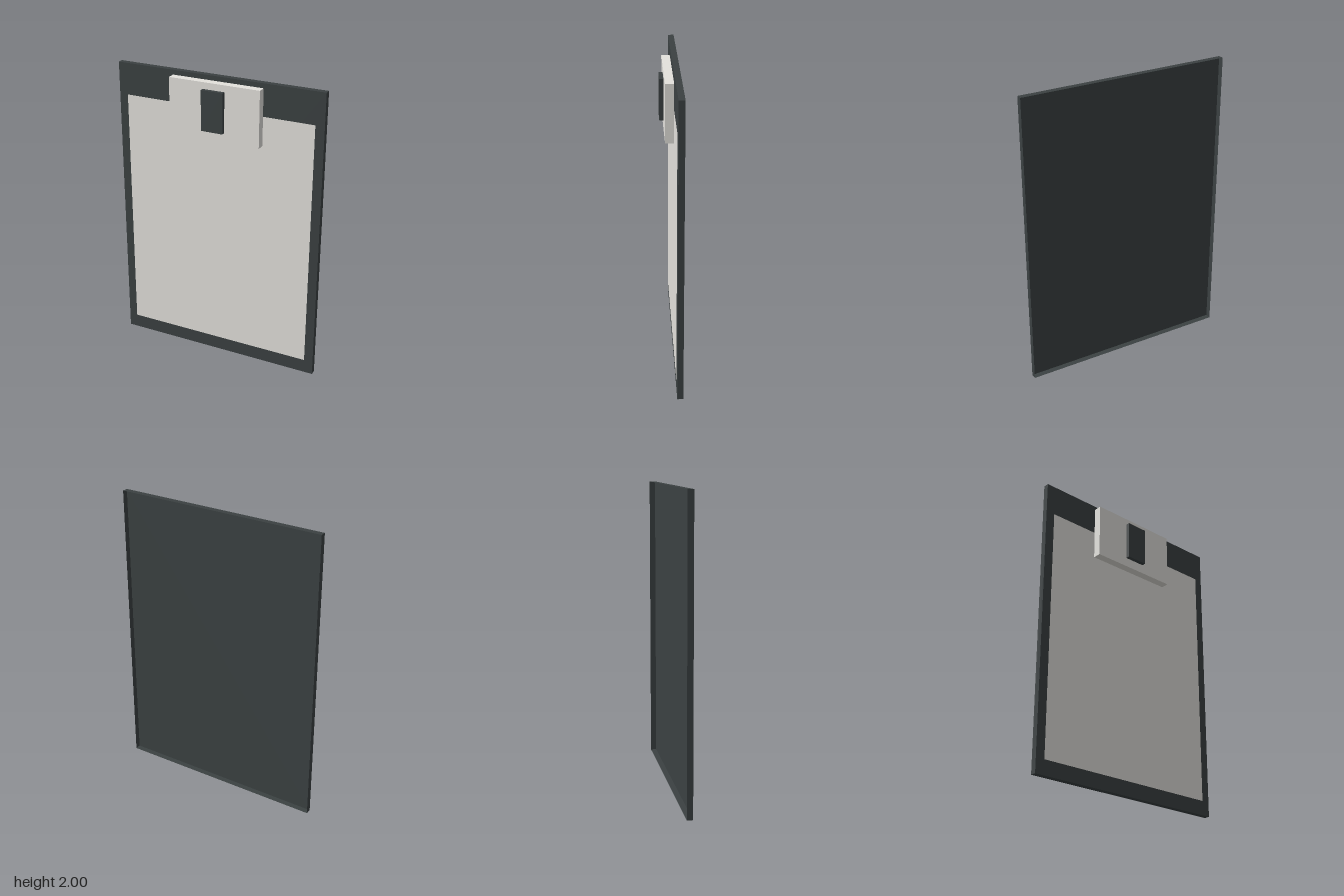
import * as THREE from 'three';

export function createModel() {
  const model = new THREE.Group();
  model.name = 'clipboard';

  const makeMaterial = (name, color) => {
    const material = new THREE.MeshStandardMaterial({ color, side: THREE.DoubleSide });
    material.name = name;
    return material;
  };
  const dark = makeMaterial('dark slate', 0x3b4142);
  const pale = makeMaterial('pale grey', 0xe4e2dd);

  const add = (name, geometry, material, x, y, z) => {
    const mesh = new THREE.Mesh(geometry, material);
    mesh.name = name;
    mesh.position.set(x, y, z);
    model.add(mesh);
  };

  // Thin-walled tray, open at the back, given by its width, vertical extent and depth extent
  const tray = (name, material, width, y0, y1, z0, z1) => {
    const geometry = new THREE.BoxGeometry(width, y1 - y0, z1 - z0);
    // The back face is the last of the six, so keep the first five
    geometry.setIndex(Array.from(geometry.index.array).slice(0, 30));
    geometry.clearGroups();
    add(name, geometry, material, 0, (y0 + y1) / 2, (z0 + z1) / 2);
  };

  tray('board', dark, 1.436, 0, 2, -0.063, -0.024);

  // Single sheet lying just in front of the board
  add('paper', new THREE.PlaneGeometry(1.316, 1.69), pale, 0, 0.942, -0.021);

  tray('clip', pale, 0.628, 1.594, 1.97, -0.019, 0.036);
  tray('clipLever', dark, 0.15, 1.658, 1.926, 0.036, 0.063);

  return model;
}
